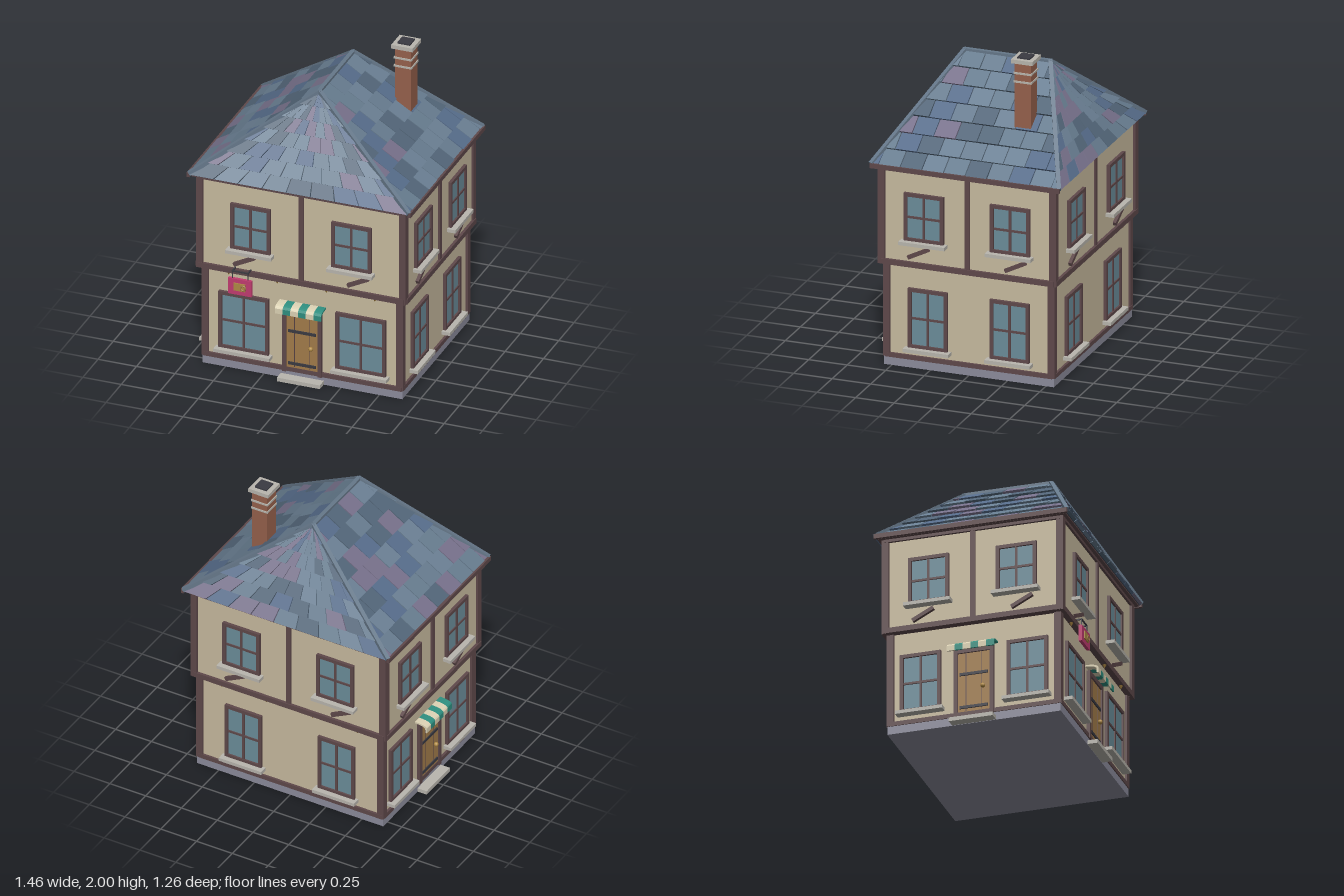
import * as THREE from 'three';
import { ConvexGeometry } from 'three/addons/geometries/ConvexGeometry.js';

const mat = (color, extra = {}) => new THREE.MeshStandardMaterial({ color, ...extra });
const M = {
  wall: mat(0xc8bb9f), timber: mat(0x5f494b), stone: mat(0x8c8c9c), sill: mat(0xb9b6ae),
  glass: mat(0x6c8e9b), door: mat(0xa27c4a), iron: mat(0x3a3a42), gold: mat(0xb08a45),
  teal: mat(0x2f8f80), cream: mat(0xdcd2b4), pink: mat(0xc23c70), brick: mat(0x96614c),
  slate: mat(0x3d4855), cap: mat(0x66788a),
};
const tileMats = [0x566c8a, 0x667b8e, 0x76708a, 0x526578, 0x6a7f93].map((c) => mat(c, { flatShading: true }));

let seed = 11;
const rand = () => (seed = (seed * 16807) % 2147483647) / 2147483647;

function add(parent, name, geo, material, x = 0, y = 0, z = 0) {
  const m = new THREE.Mesh(geo, material);
  m.name = name;
  m.position.set(x, y, z);
  parent.add(m);
  return m;
}
const box = (p, name, material, w, h, d, x, y, z) =>
  add(p, name, new THREE.BoxGeometry(w, h, d), material, x, y, z);

function group(parent, name, x = 0, y = 0, z = 0) {
  const g = new THREE.Group();
  g.name = name;
  g.position.set(x, y, z);
  parent.add(g);
  return g;
}

// Bar of square section between two points
function bar(parent, name, material, a, b, t) {
  const m = box(parent, name, material, t, t, a.distanceTo(b), 0, 0, 0);
  m.position.copy(a).add(b).multiplyScalar(0.5);
  m.lookAt(b);
  return m;
}

// Four-pane window with sill; z is the wall surface
function addWindow(parent, x, y, z, w, h) {
  const g = group(parent, 'window', x, y, z), t = 0.022;
  box(g, 'glass', M.glass, w - t, h - t, 0.016, 0, 0, 0);
  for (const s of [-1, 1]) {
    box(g, 'frameSide', M.timber, t, h, 0.04, s * (w - t) / 2, 0, 0);
    box(g, 'frameRail', M.timber, w, t, 0.04, 0, s * (h - t) / 2, 0);
  }
  box(g, 'mullion', M.timber, 0.014, h - t, 0.03, 0, 0, 0);
  box(g, 'crossbar', M.timber, w - t, 0.014, 0.03, 0, 0, 0);
  box(g, 'windowSill', M.sill, w + 0.04, 0.022, 0.06, 0, -h / 2 - 0.008, 0.025);
}

// Door with frame, hinges, knob, step and striped awning
function addDoor(parent, z) {
  const g = group(parent, 'doorway', 0, 0, z);
  box(g, 'door', M.door, 0.21, 0.4, 0.02, 0, 0.28, 0.002);
  for (const s of [-1, 1]) {
    box(g, 'doorPost', M.timber, 0.025, 0.44, 0.045, s * 0.115, 0.27, 0);
    box(g, 'doorGroove', M.timber, 0.004, 0.39, 0.004, s * 0.05, 0.28, 0.011);
  }
  box(g, 'doorLintel', M.timber, 0.255, 0.03, 0.045, 0, 0.485, 0);
  for (const y of [0.11, 0.33]) box(g, 'hinge', M.iron, 0.18, 0.018, 0.01, 0, y, 0.014);
  add(g, 'knob', new THREE.SphereGeometry(0.015, 12, 8), M.gold, 0.06, 0.235, 0.025);
  box(g, 'doorStep', M.sill, 0.28, 0.025, 0.08, 0, 0.0145, 0.035);

  const p = new THREE.Shape();
  p.moveTo(0, 0.525);
  p.quadraticCurveTo(0.075, 0.525, 0.082, 0.502);
  p.lineTo(0.082, 0.468);
  p.lineTo(0.072, 0.468);
  p.lineTo(0.07, 0.497);
  p.quadraticCurveTo(0.06, 0.514, 0, 0.514);
  const awning = group(g, 'awning');
  for (let i = 0; i < 6; i++) {
    const geo = new THREE.ExtrudeGeometry(p, { depth: 0.05, bevelEnabled: false, curveSegments: 6 });
    geo.rotateY(-Math.PI / 2);
    add(awning, 'awningStripe', geo, i % 2 ? M.teal : M.cream, -0.1 + i * 0.05, 0, 0);
  }
}

// One side of the house in local axes, facing +z
function addFacade(house, name, angle, lowerZ, upperZ, half, o) {
  const g = group(house, name);
  g.rotation.y = angle;
  const inner = 2 * half;
  box(g, 'bottomBeam', M.timber, inner, 0.028, 0.03, 0, 0.066, lowerZ);
  box(g, 'floorBeam', M.timber, inner + 0.05, 0.034, 0.06, 0, 0.678, upperZ - 0.012);
  box(g, 'topBeam', M.timber, inner + 0.05, 0.026, 0.03, 0, 1.28, upperZ);
  box(g, 'middlePost', M.timber, 0.032, 0.59, 0.025, 0, 0.98, upperZ);
  for (const s of [-1, 1]) {
    addWindow(g, s * o.upX, 0.985, upperZ, 0.258, 0.31);
    addWindow(g, s * o.lowX, 0.322, lowerZ, o.lowW, 0.385);
    const brace = box(g, 'brace', M.timber, 0.15, 0.024, 0.03, s * o.braceX, 0.756, upperZ + 0.006);
    brace.rotation.z = 0.47;
    if (o.brackets) for (const x of [0.16, 0.475]) {
      const c = add(g, 'bracket', new THREE.ConeGeometry(0.016, 0.03, 8), M.gold, s * x, 0.652, upperZ - 0.002);
      c.rotation.x = Math.PI;
    }
  }
  if (o.door) addDoor(g, lowerZ);
  return g;
}

// Roof slope facing local +z: trapezoid from width w0 at the eave to w1 at the ridge
const EAVE = 1.295, RIDGE = 1.838, ROWS = 7;
function addSlope(parent, name, angle, z0, z1, w0, w1, fan) {
  const g = group(parent, name);
  g.rotation.y = angle;
  const n = new THREE.Vector3(0, z0 - z1, RIDGE - EAVE).normalize();
  const width = (v) => w0 + (w1 - w0) * v;
  const point = (s, v, lift) => new THREE.Vector3(s, EAVE + (RIDGE - EAVE) * v, z0 + (z1 - z0) * v).addScaledVector(n, lift);
  const count = fan ? 9 : 10, step = fan ? 1 / 9 : 0.14;
  for (let r = 0; r < ROWS; r++) {
    const v0 = r / ROWS, v1 = (r + 1) / ROWS;
    const at = (k, v) => {
      const limit = width(v) / 2, f = (k - count / 2 + (r % 2) / 2) * step;
      return THREE.MathUtils.clamp(fan ? f * width(v) : f, -limit, limit);
    };
    for (let k = -1; k < count; k++) {
      const gap = 0.02, a0 = at(k + gap, v0), b0 = at(k + 1 - gap, v0);
      const a1 = at(k + gap, v1), b1 = at(k + 1 - gap, v1);
      if (b0 - a0 < 0.006) continue;
      const lift = 0.016 + rand() * 0.005;
      const c = [point(a0, v0, 0), point(b0, v0, 0), point(b1, v1, 0), point(a1, v1, 0),
        point(a0, v0, lift), point(b0, v0, lift), point(b1, v1, 0.006), point(a1, v1, 0.006)];
      const geo = new THREE.BufferGeometry().setFromPoints(c);
      geo.setIndex([4, 5, 6, 4, 6, 7, 0, 1, 5, 0, 5, 4, 1, 2, 6, 1, 6, 5, 3, 0, 4, 3, 4, 7]);
      const flat = geo.toNonIndexed();
      flat.computeVertexNormals();
      add(g, 'roofTile', flat, tileMats[Math.floor(rand() * tileMats.length)]);
    }
  }
}

function addRoof(house) {
  const roof = group(house, 'roof'), X = 0.71, Z = 0.605, R = 0.275;
  const V = (x, y, z) => new THREE.Vector3(x, y, z);
  const corners = [-1, 1].flatMap((s) => [V(-X, EAVE, s * Z), V(X, EAVE, s * Z), V(0, RIDGE, s * R)]);
  add(roof, 'roofCore', new ConvexGeometry(corners), M.slate);
  box(roof, 'soffit', M.timber, 2 * X - 0.01, 0.01, 2 * Z - 0.01, 0, EAVE - 0.004, 0);
  for (const s of [-1, 1]) {
    const a = s > 0 ? 0 : Math.PI;
    addSlope(roof, 'hipSlope', a, Z, R, 2 * X, 0, true);
    addSlope(roof, 'longSlope', a + Math.PI / 2, X, 0, 2 * Z, 2 * R, false);
    box(roof, 'eaveBoard', M.timber, 0.018, 0.03, 2 * Z + 0.02, s * (X + 0.009), EAVE + 0.004, 0);
    for (const t of [-1, 1])
      bar(roof, 'hipCap', M.cap, V(t * (X + 0.005), EAVE + 0.012, s * (Z + 0.005)), V(0, RIDGE + 0.006, s * R), 0.026);
  }
  bar(roof, 'ridgeCap', M.cap, V(0, RIDGE + 0.002, -R - 0.01), V(0, RIDGE + 0.002, R + 0.01), 0.026);
}

function addChimney(house) {
  const g = group(house, 'chimney', 0.355, 0, -0.255);
  box(g, 'stack', M.brick, 0.105, 0.46, 0.105, 0, 1.74, 0);
  for (const y of [1.845, 1.9]) box(g, 'chimneyBand', M.sill, 0.116, 0.012, 0.116, 0, y, 0);
  box(g, 'chimneyCap', M.sill, 0.14, 0.025, 0.14, 0, 1.978, 0);
  box(g, 'flue', M.iron, 0.082, 0.012, 0.082, 0, 1.994, 0);
}

// Hanging shop sign with a plain ornament
function addSign(house) {
  const g = group(house, 'hangingSign', -0.38, 0, 0.612);
  box(g, 'signBoard', M.pink, 0.152, 0.106, 0.02, 0, 0.598, 0);
  box(g, 'signPanel', M.gold, 0.075, 0.05, 0.01, 0, 0.6, 0.012);
  add(g, 'signRing', new THREE.TorusGeometry(0.015, 0.005, 8, 16), M.door, 0.025, 0.6, 0.018);
  box(g, 'signRail', M.iron, 0.11, 0.008, 0.008, 0, 0.698, 0);
  for (const s of [-1, 1]) {
    box(g, 'signHanger', M.iron, 0.006, 0.055, 0.006, s * 0.05, 0.673, 0);
    box(g, 'signArm', M.iron, 0.008, 0.008, 0.05, s * 0.05, 0.698, -0.024);
  }
}

export function createModel() {
  const house = new THREE.Group();
  house.name = 'townHouse';

  // Plinth and the two storeys
  box(house, 'plinth', M.stone, 1.3, 0.054, 1.104, 0, 0.027, 0);
  box(house, 'lowerWalls', M.wall, 1.28, 0.63, 1.086, 0, 0.365, 0);
  box(house, 'upperWalls', M.wall, 1.34, 0.625, 1.126, 0, 0.9775, 0);

  // Corner posts
  for (const sx of [-1, 1]) for (const sz of [-1, 1]) {
    box(house, 'lowerCornerPost', M.timber, 0.045, 0.61, 0.045, sx * 0.632, 0.36, sz * 0.534);
    box(house, 'upperCornerPost', M.timber, 0.045, 0.63, 0.045, sx * 0.66, 0.975, sz * 0.556);
  }

  // Four sides
  addFacade(house, 'frontFacade', 0, 0.543, 0.563, 0.645,
    { upX: 0.328, lowX: 0.38, lowW: 0.325, braceX: 0.37, brackets: true, door: true });
  addFacade(house, 'backFacade', Math.PI, 0.543, 0.563, 0.645,
    { upX: 0.328, lowX: 0.325, lowW: 0.255, braceX: 0.37, brackets: true });
  addFacade(house, 'leftFacade', Math.PI / 2, 0.64, 0.67, 0.54,
    { upX: 0.28, lowX: 0.265, lowW: 0.255, braceX: 0.315 });
  addFacade(house, 'rightFacade', -Math.PI / 2, 0.64, 0.67, 0.54,
    { upX: 0.28, lowX: 0.34, lowW: 0.26, braceX: 0.315, door: true });

  addRoof(house);
  addChimney(house);
  addSign(house);
  return house;
}
